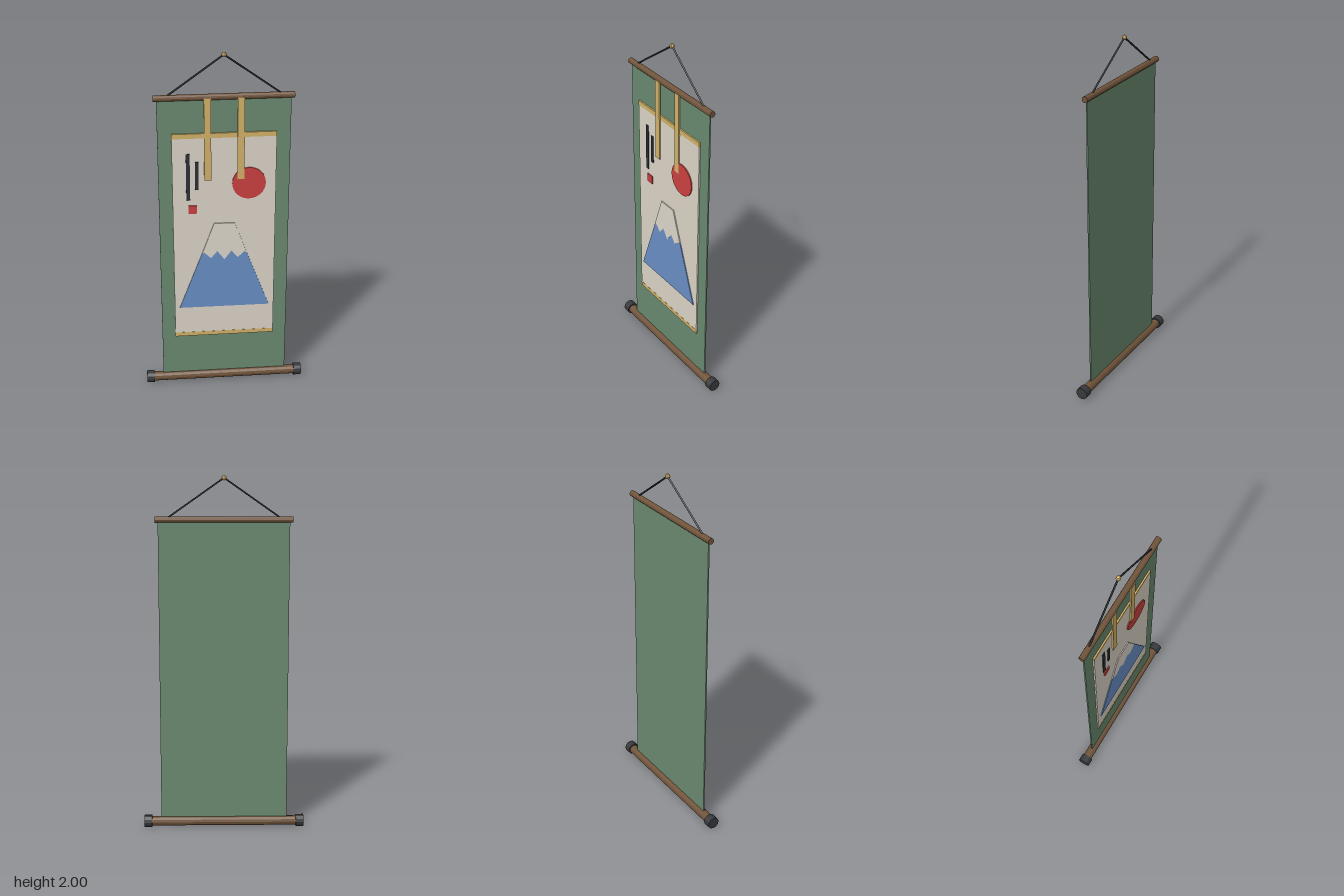
import * as THREE from 'three';

const mat = (name, color, flat = false) => {
  const m = new THREE.MeshStandardMaterial({ color, flatShading: flat });
  m.name = name;
  return m;
};

export function createModel() {
  const group = new THREE.Group();
  group.name = 'hangingScroll';
  const cloth = mat('greenCloth', 0x6a8a70);
  const paper = mat('paper', 0xdcd5c8);
  const gold = mat('gold', 0xd4b36a, true);
  const red = mat('red', 0xcc4140);
  const blue = mat('blue', 0x6a8fc6);
  const snow = mat('snowWhite', 0xdeD8cc);
  const ink = mat('ink', 0x2c3036);
  const wood = mat('wood', 0x70533a, true);
  const black = mat('blackLacquer', 0x36383b, true);
  const cord = mat('cord', 0x20262a);

  const add = (name, geo, m, x = 0, y = 0, z = 0) => {
    const mesh = new THREE.Mesh(geo, m);
    mesh.name = name;
    mesh.position.set(x, y, z);
    group.add(mesh);
    return mesh;
  };
  // box from its left, right, bottom, top, back and front limits
  const slab = (name, m, x0, x1, y0, y1, z0, z1) =>
    add(name, new THREE.BoxGeometry(x1 - x0, y1 - y0, z1 - z0), m, (x0 + x1) / 2, (y0 + y1) / 2, (z0 + z1) / 2);
  // cylinder lying along x
  const rod = (name, m, r, length, x, y) =>
    add(name, new THREE.CylinderGeometry(r, r, length, 12).rotateZ(Math.PI / 2), m, x, y, 0);
  // thin plate cut to an outline
  const plate = (name, m, points, z0, depth) => {
    const shape = new THREE.Shape(points.map(([x, y]) => new THREE.Vector2(x, y)));
    return add(name, new THREE.ExtrudeGeometry(shape, { depth, bevelEnabled: false }), m, 0, 0, z0);
  };

  // hanging and paper
  slab('cloth', cloth, -0.358, 0.358, 0.04, 1.76, -0.004, 0.004);
  slab('paperPanel', paper, -0.283, 0.283, 0.335, 1.535, 0.004, 0.012);
  slab('topBand', gold, -0.283, 0.283, 1.535, 1.562, 0.004, 0.013);
  slab('bottomBand', gold, -0.283, 0.283, 0.31, 0.335, 0.004, 0.013);

  // rods and end caps
  rod('topRod', wood, 0.017, 0.75, 0, 1.762);
  rod('bottomRoller', wood, 0.027, 0.83, 0, 0.036);
  for (const s of [-1, 1]) {
    rod('rollerCap', black, 0.035, 0.044, s * 0.433, 0.036);
    slab('hangingStrip', gold, s * 0.09 - 0.019, s * 0.09 + 0.019, 1.293, 1.76, 0.012, 0.02);
  }

  // painting
  const sun = add('sun', new THREE.CylinderGeometry(0.092, 0.092, 0.006, 32).rotateX(Math.PI / 2), red, 0.135, 1.267, 0.015);
  sun.name = 'sun';
  const ridge = [[-0.125, 0.845], [-0.112, 0.85], [-0.075, 0.815], [-0.04, 0.858], [0, 0.805],
    [0.04, 0.858], [0.075, 0.815], [0.112, 0.85], [0.125, 0.845]];
  plate('mountain', blue, [[0.255, 0.502], ...ridge.slice().reverse(), [-0.255, 0.502]].reverse(), 0.012, 0.005);
  plate('snowCap', snow, [...ridge, [0.057, 1.03], [-0.057, 1.03]], 0.012, 0.006);
  slab('longInkStroke', ink, -0.208, -0.187, 1.175, 1.447, 0.012, 0.017);
  slab('shortInkStroke', ink, -0.159, -0.14, 1.237, 1.4, 0.012, 0.017);
  slab('seal', red, -0.198, -0.15, 1.095, 1.143, 0.012, 0.018);

  // hanging cord and knot
  const top = new THREE.Vector3(0, 1.986, -0.013);
  for (const s of [-1, 1]) {
    const line = new THREE.LineCurve3(new THREE.Vector3(s * 0.3, 1.775, 0), top);
    add('cord', new THREE.TubeGeometry(line, 1, 0.005, 6), cord);
  }
  add('knot', new THREE.SphereGeometry(0.014, 8, 6), gold, top.x, top.y, top.z);
  return group;
}
